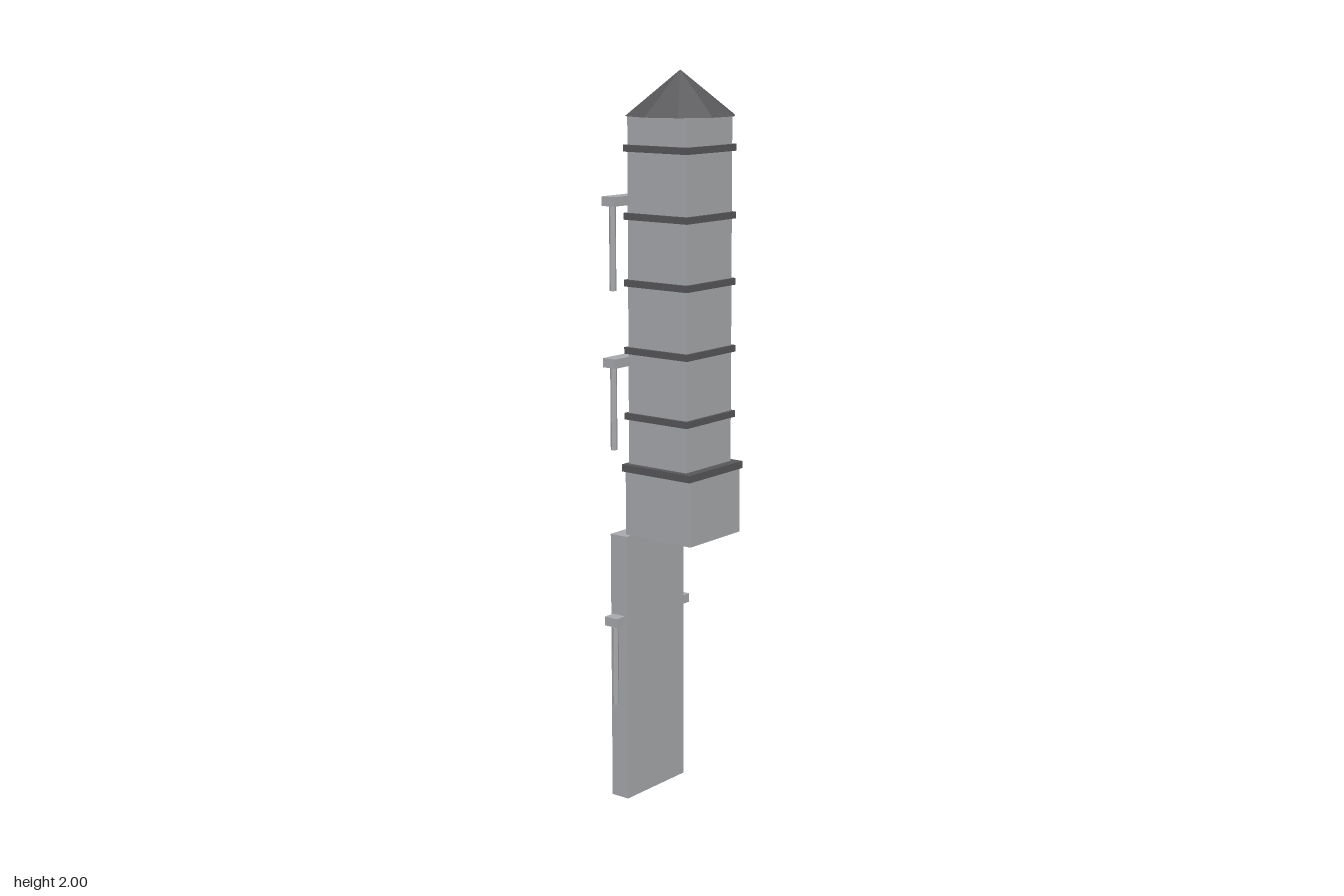
import * as THREE from 'three';

export function createModel() {
  const model = new THREE.Group();
  const stone = new THREE.MeshStandardMaterial({ color: 0xaaabae });
  stone.name = 'light grey';
  const slate = new THREE.MeshStandardMaterial({ color: 0x58585b });
  slate.name = 'dark grey';
  stone.flatShading = slate.flatShading = true;

  function add(name, geometry, material, x, y, z) {
    const mesh = new THREE.Mesh(geometry, material);
    mesh.name = name;
    mesh.position.set(x, y, z);
    model.add(mesh);
    return mesh;
  }
  // Box given by its width, depth, bottom, top and centre z
  const block = (name, material, w, d, y0, y1, z = 0) =>
    add(name, new THREE.BoxGeometry(w, y1 - y0, d), material, 0, (y0 + y1) / 2, z);

  // Tower body on a wider base block with a dark collar
  block('towerShaft', stone, 0.196, 0.196, 0.945, 1.885, -0.001);
  block('towerBase', stone, 0.218, 0.222, 0.755, 0.945, 0.009);
  block('collar', slate, 0.234, 0.231, 0.932, 0.952, 0.0075);

  // Thin dark bands around the shaft
  for (const y of [1.083, 1.262, 1.443, 1.62, 1.798]) {
    block('band', slate, 0.212, 0.212, y - 0.009, y + 0.009, -0.001);
  }

  // Ten-sided roof with corners on the x axis
  const roof = add('roof', new THREE.ConeGeometry(0.15, 0.118, 10), slate, 0, 1.941, 0);
  roof.rotation.y = Math.PI / 10;

  // Rear support slab
  block('supportSlab', stone, 0.25, 0.056, 0, 0.754, -0.115);

  // Cross beams, each with a rod hanging from its right end
  for (const y of [0.516, 1.233, 1.662]) {
    block('crossBeam', stone, 0.32, 0.042, y - 0.0125, y + 0.0125, -0.115);
    add('hangingRod', new THREE.CylinderGeometry(0.009, 0.009, 0.23, 8), stone, -0.151, y - 0.12, -0.107);
  }

  return model;
}
